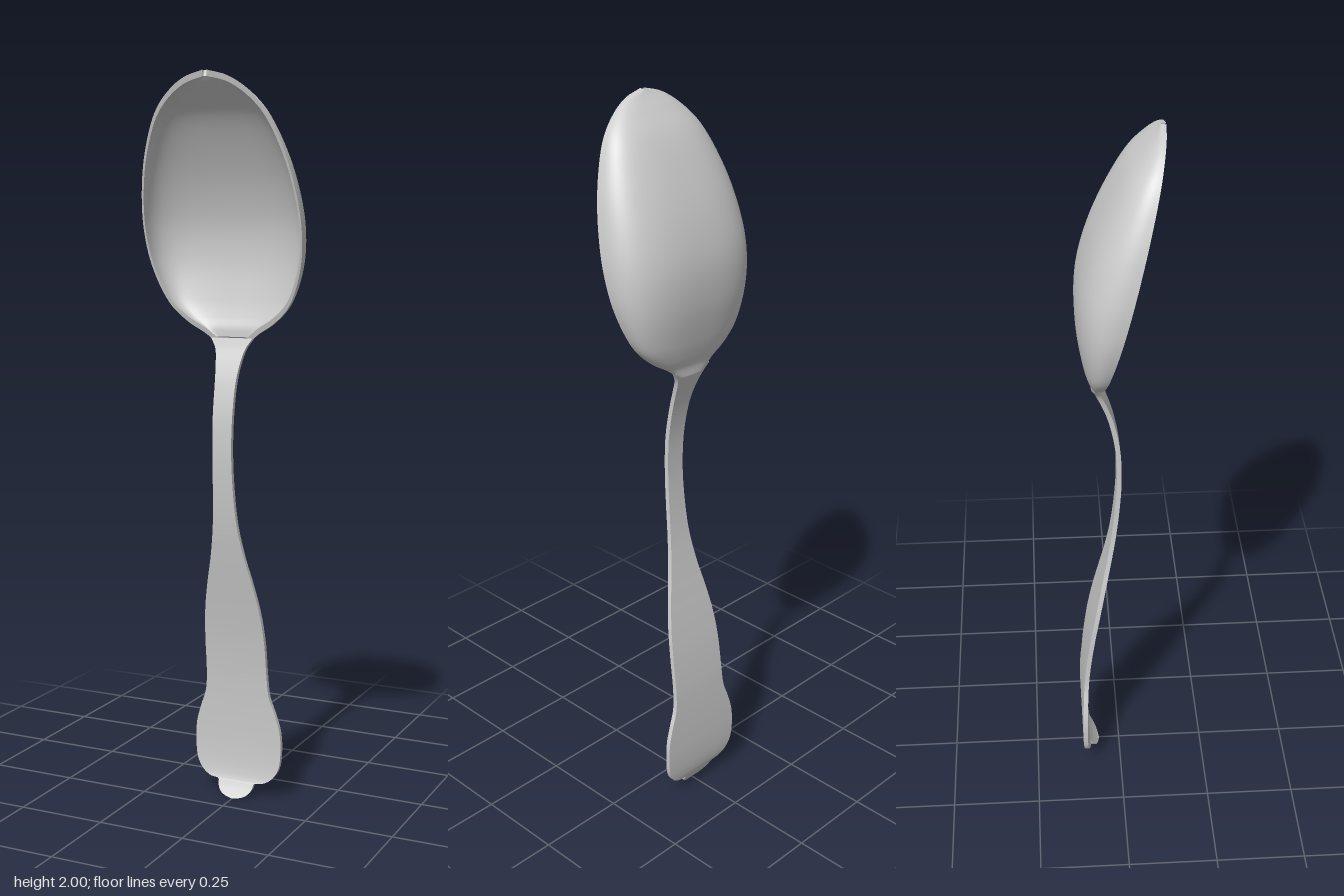
import * as THREE from 'three';
import { mergeGeometries } from 'three/addons/utils/BufferGeometryUtils.js';

// Smooth grid from a point function f(a, b), with a and b running 0..1
function grid(f, rows, cols) {
  const pos = [], index = [];
  for (let i = 0; i <= rows; i++)
    for (let j = 0; j <= cols; j++) pos.push(...f(i / rows, j / cols));
  for (let i = 0; i < rows; i++)
    for (let j = 0; j < cols; j++) {
      const a = i * (cols + 1) + j, b = a + cols + 1;
      index.push(a, b, a + 1, b, b + 1, a + 1);
    }
  const g = new THREE.BufferGeometry();
  g.setAttribute('position', new THREE.Float32BufferAttribute(pos, 3));
  g.setIndex(index);
  g.computeVertexNormals();
  return g;
}

// Closed sheet: front and back faces joined by crisp edges on all four sides
function sheet(front, back, rows, cols) {
  const mix = (a, b, k) => {
    const p = front(a, b), q = back(a, b);
    return p.map((v, n) => v + (q[n] - v) * k);
  };
  return mergeGeometries([
    grid(front, rows, cols),
    grid((a, b) => back(a, 1 - b), rows, cols),
    grid((a, k) => mix(a, 0, 1 - k), rows, 1),
    grid((a, k) => mix(a, 1, k), rows, 1),
    grid((k, b) => mix(0, b, 1 - k), 1, cols),
    grid((k, b) => mix(1, b, k), 1, cols),
  ]);
}

const curve = (pts) => new THREE.CatmullRomCurve3(pts.map((p) => new THREE.Vector3(...p)));

// Bowl outline from tip to neck: half width, height, depth below the rim
const bowlCurve = curve([
  [0.006, 2, 0.012], [0.06, 1.985, 0.02], [0.11, 1.953, 0.042], [0.157, 1.9, 0.073],
  [0.2, 1.8, 0.103], [0.223, 1.7, 0.12], [0.231, 1.6, 0.121], [0.219, 1.5, 0.1],
  [0.178, 1.4, 0.062], [0.128, 1.35, 0.038], [0.08, 1.32, 0.021], [0.048, 1.295, 0.013],
]);

// Handle outline from neck to end: half width, height, z of the middle
const handleCurve = curve([
  [0.062, 1.308, -0.062], [0.045, 1.28, -0.053], [0.036, 1.24, -0.037], [0.031, 1.19, -0.021],
  [0.029, 1.1, -0.004], [0.028, 1, 0], [0.03, 0.9, -0.006], [0.036, 0.8, -0.018],
  [0.05, 0.71, -0.034], [0.068, 0.63, -0.05], [0.083, 0.55, -0.066], [0.091, 0.46, -0.082],
  [0.093, 0.36, -0.095], [0.098, 0.3, -0.1], [0.115, 0.25, -0.103], [0.129, 0.2, -0.105],
  [0.132, 0.14, -0.106], [0.125, 0.09, -0.104], [0.105, 0.06, -0.1], [0.08, 0.046, -0.096],
  [0.056, 0.042, -0.094], [0.052, 0.028, -0.087], [0.042, 0.013, -0.078], [0.025, 0.004, -0.072],
  [0.004, 0, -0.068],
]);

const rimZ = (y) => 0.11 - (2 - y) * 0.243;

// Bowl surface: full, steep-sided cross-section hung below the slanted rim
function bowlSurface(inset, scaleY, thin) {
  return (a, b) => {
    const p = bowlCurve.getPoint(a);
    const angle = (b - 0.5) * Math.PI;
    const s = Math.sin(angle), c = Math.max(0, Math.cos(angle));
    const y = 1.65 + (p.y - 1.65) * scaleY;
    const x = Math.sign(s) * Math.pow(Math.abs(s), 0.75) * p.x * inset;
    const z = rimZ(y) - Math.max(0.002, p.z - thin) * Math.pow(c, 0.75);
    return [x, y, z];
  };
}

// Handle surface: flat across, bent along its length
function handleSurface(offset) {
  return (a, b) => {
    const p = handleCurve.getPoint(a);
    return [(b * 2 - 1) * p.x, p.y, p.z + offset];
  };
}

export function createModel() {
  const group = new THREE.Group();
  group.name = 'spoon';
  const material = new THREE.MeshStandardMaterial({ color: 0xcccccc });
  const add = (name, geometry) => {
    const mesh = new THREE.Mesh(geometry, material);
    mesh.name = name;
    group.add(mesh);
  };

  add('bowl', sheet(bowlSurface(0.975, 0.955, 0.01), bowlSurface(1, 1, 0), 66, 40));
  add('handle', sheet(handleSurface(0.0065), handleSurface(-0.0065), 144, 4));
  return group;
}
